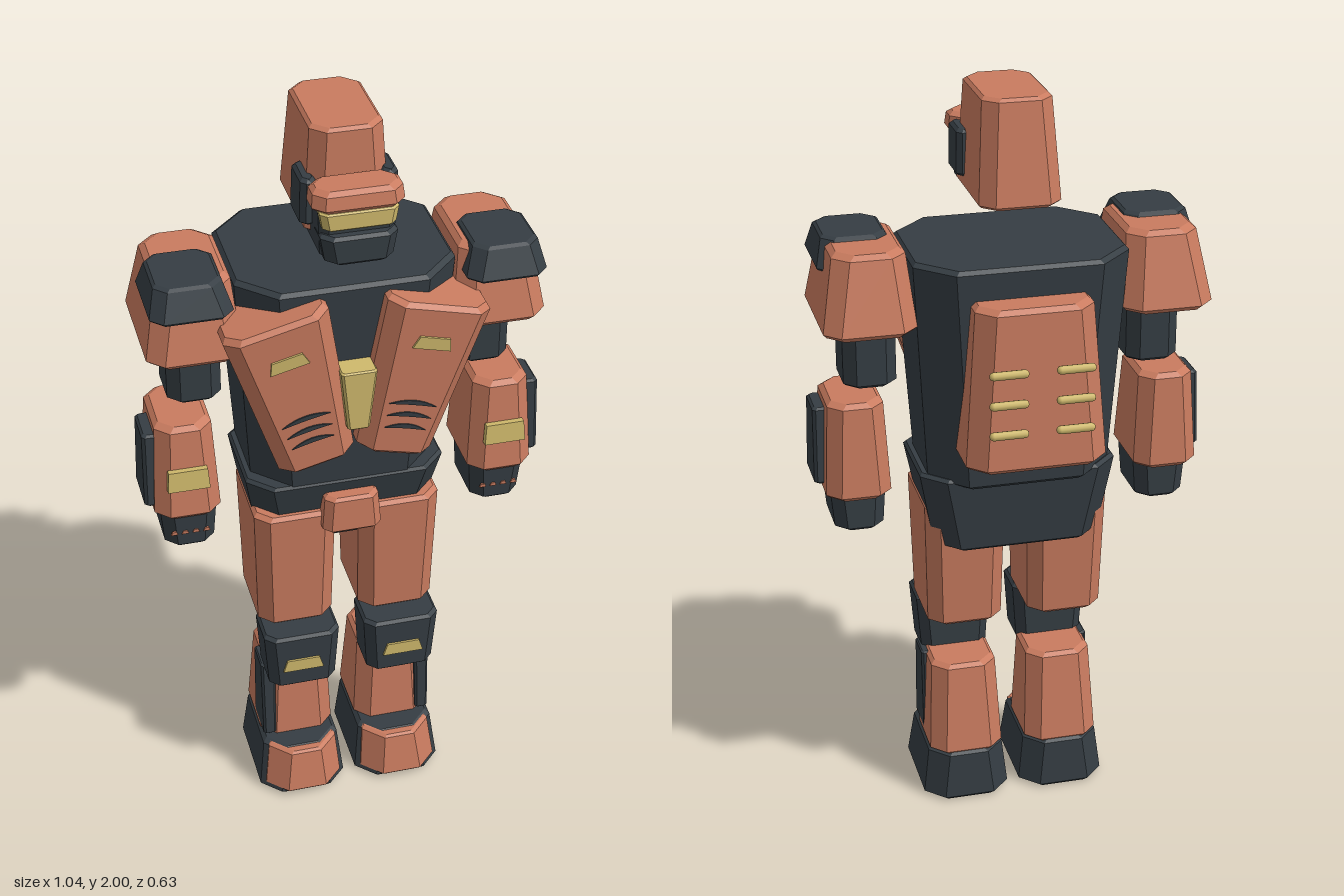
import * as THREE from 'three';

const paint = (name, hex) => {
  const m = new THREE.MeshStandardMaterial({ color: hex });
  m.name = name;
  return m;
};

// Octagon outline of a rectangle [x0, x1, z0, z1] with cut corners
function octagon([x0, x1, z0, z1], c, y, inset = 0) {
  x0 += inset; x1 -= inset; z0 += inset; z1 -= inset;
  return [[x1, z1 - c], [x1, z0 + c], [x1 - c, z0], [x0 + c, z0],
    [x0, z0 + c], [x0, z1 - c], [x0 + c, z1], [x1 - c, z1]].map(([x, z]) => [x, y, z]);
}

// Tapered armour block between two rectangles, with cut corners and bevelled rims
function blockGeometry(y0, y1, bottom, top, c, b) {
  const at = (t) => bottom.map((v, i) => v + (top[i] - v) * t);
  const t = b / (y1 - y0);
  const rings = [octagon(bottom, c, y0, b), octagon(at(t), c, y0 + b),
    octagon(at(1 - t), c, y1 - b), octagon(top, c, y1, b)];
  const pos = [];
  const tri = (...p) => p.forEach((v) => pos.push(...v));
  for (let r = 0; r < 3; r++) {
    for (let j = 0; j < 8; j++) {
      const k = (j + 1) % 8, lo = rings[r], hi = rings[r + 1];
      tri(lo[j], lo[k], hi[k]);
      tri(lo[j], hi[k], hi[j]);
    }
  }
  for (let j = 1; j < 7; j++) {
    tri(rings[3][0], rings[3][j], rings[3][j + 1]);
    tri(rings[0][0], rings[0][j + 1], rings[0][j]);
  }
  const g = new THREE.BufferGeometry();
  g.setAttribute('position', new THREE.Float32BufferAttribute(pos, 3));
  g.computeVertexNormals();
  return g;
}

// Thin plate with slanted ends, facing +z
function plateGeometry(wTop, wBottom, h, depth = 0.008) {
  const s = new THREE.Shape();
  s.moveTo(-wBottom / 2, -h / 2);
  s.lineTo(wBottom / 2, -h / 2);
  s.lineTo(wTop / 2, h / 2);
  s.lineTo(-wTop / 2, h / 2);
  s.closePath();
  return new THREE.ExtrudeGeometry(s, { depth, bevelEnabled: false });
}

// Thin crescent slit, facing +z
function slitGeometry(w) {
  const s = new THREE.Shape();
  s.moveTo(-w / 2, -0.008);
  s.quadraticCurveTo(0, 0.022, w / 2, -0.008);
  s.quadraticCurveTo(0, -0.004, -w / 2, -0.008);
  return new THREE.ExtrudeGeometry(s, { depth: 0.006, bevelEnabled: false, curveSegments: 8 });
}

export function createModel() {
  const orange = paint('copper armour', 0xc97b5f);
  const dark = paint('dark steel', 0x353d43);
  const yellow = paint('pale yellow', 0xcfb96c);
  const model = new THREE.Group();
  model.name = 'robot';

  const add = (parent, name, geometry, material, x = 0, y = 0, z = 0) => {
    const m = new THREE.Mesh(geometry, material);
    m.name = name;
    m.position.set(x, y, z);
    parent.add(m);
    return m;
  };
  const block = (parent, name, mat, y0, y1, bottom, top, c = 0.03, b = 0.008) =>
    add(parent, name, blockGeometry(y0, y1, bottom, top, c, b), mat);

  // Head
  const head = new THREE.Group();
  head.name = 'head';
  model.add(head);
  block(head, 'helmet', orange, 1.73, 2, [-0.105, 0.105, -0.115, 0.2], [-0.088, 0.088, -0.08, 0.19], 0.035);
  block(head, 'face', dark, 1.71, 1.845, [-0.09, 0.09, 0.1, 0.28], [-0.095, 0.095, 0.1, 0.28], 0.02);
  block(head, 'brow', orange, 1.838, 1.89, [-0.113, 0.113, 0.195, 0.3], [-0.107, 0.107, 0.195, 0.29], 0.027, 0.01);
  block(head, 'visor', yellow, 1.792, 1.838, [-0.088, 0.088, 0.22, 0.296], [-0.096, 0.096, 0.22, 0.296], 0.015, 0.004);
  block(head, 'jaw', dark, 1.703, 1.778, [-0.082, 0.082, 0.2, 0.305], [-0.095, 0.095, 0.2, 0.305], 0.025);

  // Trunk
  block(model, 'torso', dark, 1.0, 1.61, [-0.24, 0.24, -0.15, 0.215], [-0.277, 0.277, -0.19, 0.25], 0.09, 0.01);
  block(model, 'pelvis', dark, 0.8, 1.02, [-0.222, 0.222, -0.1, 0.165], [-0.262, 0.262, -0.12, 0.222], 0.06);
  block(model, 'beltPlate', orange, 0.875, 0.98, [-0.078, 0.078, 0.14, 0.255], [-0.07, 0.07, 0.14, 0.25], 0.02);
  block(model, 'breastbone', yellow, 1.225, 1.395, [-0.028, 0.028, 0.18, 0.298], [-0.046, 0.046, 0.18, 0.3], 0.006, 0.004);
  block(model, 'backpack', orange, 1.105, 1.53, [-0.182, 0.182, -0.292, -0.08], [-0.15, 0.15, -0.27, -0.08], 0.045, 0.012);

  for (const s of [1, -1]) {
    // Mirrored block: x range is given for the left side
    const flip = ([x0, x1, z0, z1]) => (s > 0 ? [x0, x1, z0, z1] : [-x1, -x0, z0, z1]);
    const side = (parent, name, mat, y0, y1, bottom, top, c, b) =>
      block(parent, name, mat, y0, y1, flip(bottom), flip(top), c, b);
    const prefix = s > 0 ? 'left' : 'right';
    const group = (name) => {
      const g = new THREE.Group();
      g.name = prefix + name;
      model.add(g);
      return g;
    };

    side(head, 'earGuard', dark, 1.76, 1.88, [0.08, 0.121, 0.085, 0.2], [0.08, 0.118, 0.09, 0.2], 0.013);

    // Leaning chest plate with badge and vents
    const chest = group('Chest');
    chest.position.set(s * 0.151, 1.342, 0);
    chest.rotation.z = -s * 0.245;
    block(chest, 'chestPlate', orange, -0.223, 0.223, [-0.098, 0.098, 0.13, 0.292], [-0.134, 0.134, 0.13, 0.315], 0.035, 0.012);
    const onChest = (name, g, mat, y) => {
      add(chest, name, g, mat, 0, y, 0.301 + y * 0.052).rotation.x = 0.052;
    };
    onChest('chestBadge', plateGeometry(0.078, 0.1, 0.034), yellow, 0.12);
    for (let i = 0; i < 3; i++) onChest('chestVent', slitGeometry(0.125 - i * 0.008), dark, -0.058 - i * 0.036);

    // Arm
    const arm = group('Arm');
    side(arm, 'shoulderPad', orange, 1.43, 1.635, [0.265, 0.505, -0.135, 0.235], [0.285, 0.467, -0.085, 0.195], 0.04, 0.012);
    side(arm, 'shoulderCap', dark, 1.565, 1.645, [0.287, 0.495, 0.0, 0.25], [0.312, 0.475, 0.035, 0.215], 0.03, 0.006);
    side(arm, 'upperArm', dark, 1.26, 1.5, [0.305, 0.442, -0.03, 0.132], [0.305, 0.442, -0.03, 0.132], 0.03);
    side(arm, 'forearm', orange, 0.955, 1.22, [0.328, 0.5, -0.052, 0.202], [0.342, 0.486, -0.035, 0.178], 0.035, 0.012);
    side(arm, 'forearmShield', dark, 0.98, 1.19, [0.46, 0.522, 0.025, 0.16], [0.46, 0.518, 0.037, 0.147], 0.008, 0.006);
    add(arm, 'forearmBadge', plateGeometry(0.1, 0.108, 0.056, 0.018), yellow, s * 0.415, 1.078, 0.19).rotation.x = -0.09;
    side(arm, 'hand', dark, 0.852, 0.965, [0.346, 0.474, -0.012, 0.178], [0.338, 0.484, -0.012, 0.186], 0.03);
    for (let i = 0; i < 4; i++) {
      add(arm, 'knuckle', plateGeometry(0.01, 0.018, 0.009, 0.006), orange, s * (0.37 + i * 0.028), 0.902, 0.179);
    }

    // Leg
    const leg = group('Leg');
    side(leg, 'thigh', orange, 0.555, 0.92, [0.037, 0.238, -0.05, 0.2], [0.03, 0.246, -0.072, 0.216], 0.035, 0.01);
    side(leg, 'knee', dark, 0.383, 0.553, [0.045, 0.226, 0.11, 0.258], [0.034, 0.239, 0.11, 0.262], 0.025);
    add(leg, 'kneeBadge', plateGeometry(0.088, 0.11, 0.036), yellow, s * 0.138, 0.46, 0.258);
    side(leg, 'shin', orange, 0.14, 0.405, [0.033, 0.236, -0.045, 0.185], [0.045, 0.222, -0.012, 0.17], 0.038, 0.01);
    side(leg, 'shinGuard', dark, 0.16, 0.4, [0.2, 0.235, 0.08, 0.193], [0.196, 0.236, 0.09, 0.178], 0.006, 0.004);
    side(leg, 'foot', dark, 0, 0.148, [0.016, 0.256, -0.057, 0.275], [0.032, 0.238, -0.047, 0.25], 0.05, 0.01);
    side(leg, 'toeCap', orange, 0.018, 0.145, [0.03, 0.242, 0.12, 0.29], [0.04, 0.226, 0.12, 0.268], 0.052, 0.006);

    // Floating vent rods behind the backpack
    for (const y of [1.22, 1.3, 1.38]) {
      const rod = add(model, 'ventRod', new THREE.CapsuleGeometry(0.011, 0.078, 4, 10), yellow, s * 0.085, y, -0.306);
      rod.rotation.z = Math.PI / 2;
    }
  }
  return model;
}
